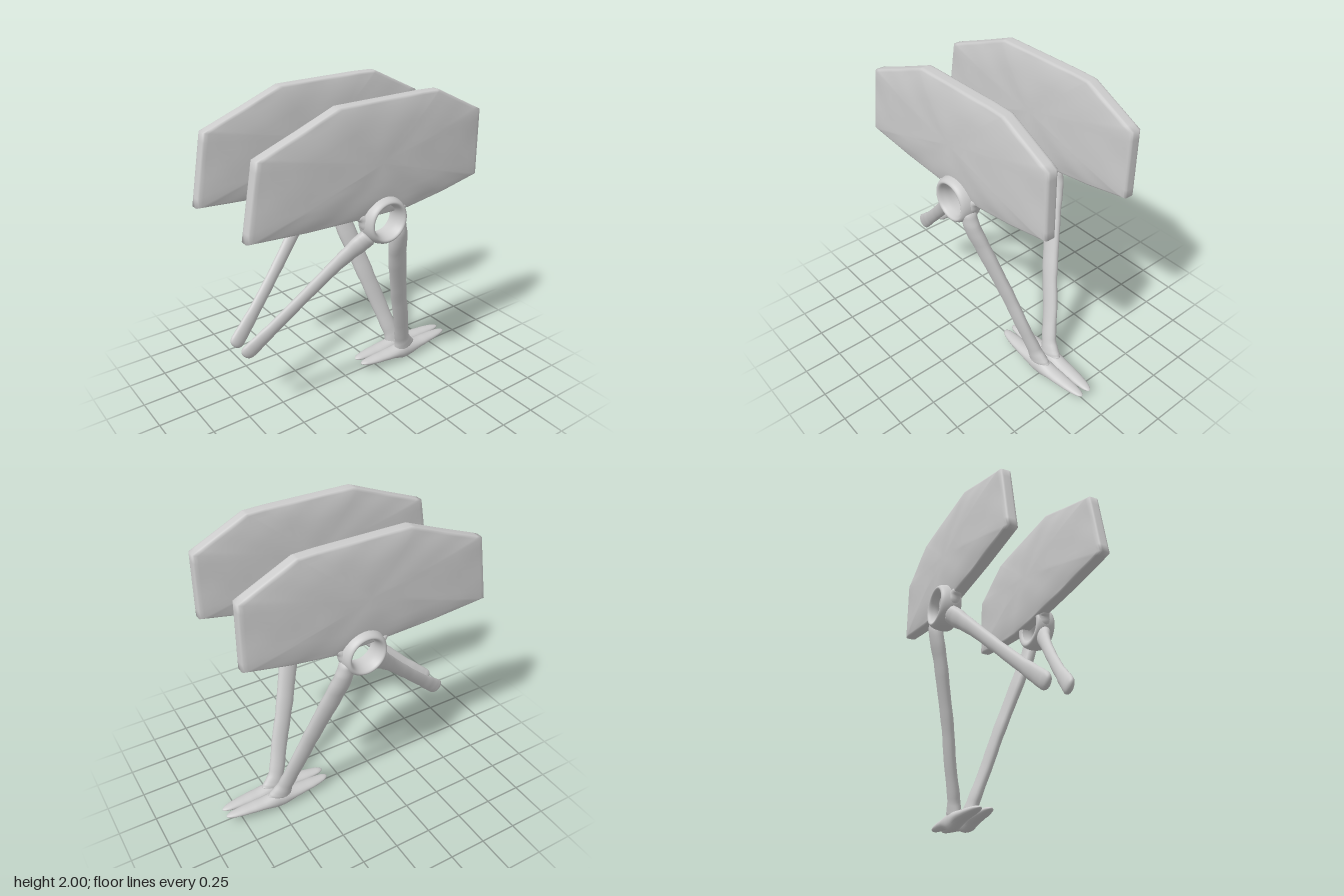
import * as THREE from 'three';
import { mergeVertices } from 'three/addons/utils/BufferGeometryUtils.js';

const material = new THREE.MeshStandardMaterial({ color: 0xcccccc });

function add(group, name, geometry) {
  const mesh = new THREE.Mesh(geometry, material);
  mesh.name = name;
  group.add(mesh);
  return mesh;
}

// Skins equal-length closed loops of points, with the first and last loop shrunk to a point
function skin(loops) {
  const n = loops[0].length, index = [];
  for (let i = 0; i < loops.length - 1; i++) {
    for (let j = 0; j < n; j++) {
      const a = i * n + j, b = i * n + (j + 1) % n;
      index.push(a, b, b + n, a, b + n, a + n);
    }
  }
  let g = new THREE.BufferGeometry().setFromPoints(loops.flat());
  g.setIndex(index);
  g = mergeVertices(g, 1e-5);
  g.computeVertexNormals();
  return g;
}

// Rounded limb through stations [x, y, z, half width across, half depth]
function limb(stations, cap, ripple = 0) {
  const path = new THREE.CatmullRomCurve3(stations.map(s => new THREE.Vector3(s[0], s[1], s[2])));
  const radii = new THREE.CatmullRomCurve3(stations.map(s => new THREE.Vector3(s[3], s[4], 0)));
  const loops = [], steps = 48, sides = 20;
  for (let i = 0; i <= steps; i++) {
    const u = 0.5 - 0.5 * Math.cos(Math.PI * i / steps);
    const p = path.getPoint(u), r = radii.getPoint(u), t = path.getTangent(u);
    const wide = new THREE.Vector3(0, 0, 1).cross(t).normalize();
    const deep = t.clone().cross(wide);
    const edge = Math.min(1, Math.min(u, 1 - u) / cap);
    const k = Math.sqrt(Math.max(0, 1 - (1 - edge) ** 2)) * (1 + ripple * Math.sin(u * 45) + ripple * Math.sin(u * 71));
    const loop = [];
    for (let j = 0; j < sides; j++) {
      const a = j / sides * Math.PI * 2;
      loop.push(p.clone().addScaledVector(wide, Math.cos(a) * r.x * k).addScaledVector(deep, Math.sin(a) * r.y * k));
    }
    loops.push(loop);
  }
  return skin(loops);
}

// Many-sided plate, thickest in the middle, with a softened rim
function plate() {
  const corners = [[-0.86, 1.37], [-0.48, 1.34], [-0.1, 1.325], [0.22, 1.32], [0.5, 1.36], [0.77, 1.415],
    [0.765, 1.83], [0.43, 1.995], [0.3, 2], [-0.27, 2], [-0.5, 1.91], [-0.78, 1.805]];
  const outline = [];
  corners.forEach(([x, y], i) => {
    const [x2, y2] = corners[(i + 1) % corners.length];
    for (let k = 0; k < 8; k++) outline.push([x + (x2 - x) * k / 8, y + (y2 - y) * k / 8]);
  });
  // [scale about the middle, half thickness]
  const half = [[0, 0.068], [0.2, 0.067], [0.4, 0.065], [0.6, 0.06], [0.75, 0.055], [0.88, 0.046], [0.96, 0.039], [0.985, 0.036], [0.997, 0.029], [1, 0.018]];
  const rings = [...half.map(([s, z]) => [s, -z]), ...half.map(([s, z]) => [s, z]).reverse()];
  return skin(rings.map(([s, z]) => outline.map(([x, y]) => {
    const px = x * s, py = 1.65 + (y - 1.65) * s;
    const lump = s < 0.97 ? 0.0025 * Math.sin(px * 17 + 2) * Math.sin(py * 21 + z * 40) : 0;
    return new THREE.Vector3(px, py, z + lump);
  })));
}

// Thick rounded ring, its profile running up the outside and down the bore
function hub() {
  const profile = [[0.095, -0.06], [0.112, -0.07], [0.132, -0.068], [0.145, -0.04], [0.147, -0.005], [0.143, 0.025],
    [0.134, 0.05], [0.121, 0.063], [0.108, 0.058], [0.098, 0.035], [0.091, 0], [0.095, -0.06]];
  const curve = new THREE.SplineCurve(profile.map(([x, y]) => new THREE.Vector2(x, y)));
  return new THREE.LatheGeometry(curve.getPoints(36), 48);
}

export function createModel() {
  const model = new THREE.Group();
  for (const s of [1, -1]) {
    const side = new THREE.Group();
    side.name = s > 0 ? 'frontSide' : 'backSide';
    model.add(side);

    add(side, 'plate', plate()).position.z = 0.297 * s;

    const ring = add(side, 'hubRing', hub());
    ring.rotation.x = s * Math.PI / 2;
    ring.position.set(0.03, 1.295, 0.338 * s);

    // Fillets joining the ring to the plate
    for (const d of [-1, 1]) {
      add(side, 'hubFillet', limb([
        [0.03 + d * 0.175, 1.35, 0.305 * s, 0.025, 0.03],
        [0.03 + d * 0.135, 1.325, 0.315 * s, 0.03, 0.038],
        [0.03 + d * 0.125, 1.25, 0.33 * s, 0.022, 0.04]], 0.25));
    }

    // Standing leg
    add(side, 'standingLeg', limb([
      [0.152, 1.28, 0.345 * s, 0.022, 0.04],
      [0.152, 1.17, 0.335 * s, 0.058, 0.045],
      [0.19, 1.0, 0.285 * s, 0.066, 0.04],
      [0.25, 0.8, 0.228 * s, 0.063, 0.037],
      [0.31, 0.6, 0.172 * s, 0.06, 0.036],
      [0.375, 0.4, 0.125 * s, 0.058, 0.035],
      [0.435, 0.2, 0.07 * s, 0.055, 0.038],
      [0.465, 0.12, 0.053 * s, 0.075, 0.042],
      [0.48, 0.075, 0.045 * s, 0.1, 0.04]], 0.04, 0.018));

    // Raised leg
    add(side, 'raisedLeg', limb([
      [-0.06, 1.215, 0.335 * s, 0.06, 0.045],
      [-0.11, 1.165, 0.305 * s, 0.06, 0.04],
      [-0.23, 1.05, 0.25 * s, 0.046, 0.03],
      [-0.42, 0.86, 0.18 * s, 0.041, 0.027],
      [-0.6, 0.685, 0.12 * s, 0.043, 0.026],
      [-0.73, 0.565, 0.08 * s, 0.052, 0.026],
      [-0.79, 0.512, 0.063 * s, 0.05, 0.024]], 0.07, 0.02));

    // Flat pointed foot, deepest under the leg
    add(side, 'foot', limb([
      [0.11, 0.075, 0.035 * s, 0.013, 0.024],
      [0.22, 0.073, 0.042 * s, 0.025, 0.042],
      [0.36, 0.071, 0.046 * s, 0.037, 0.052],
      [0.48, 0.064, 0.047 * s, 0.062, 0.052],
      [0.6, 0.071, 0.045 * s, 0.037, 0.05],
      [0.74, 0.075, 0.04 * s, 0.025, 0.04],
      [0.86, 0.075, 0.033 * s, 0.012, 0.022]], 0.07, 0.01));
  }
  return model;
}
